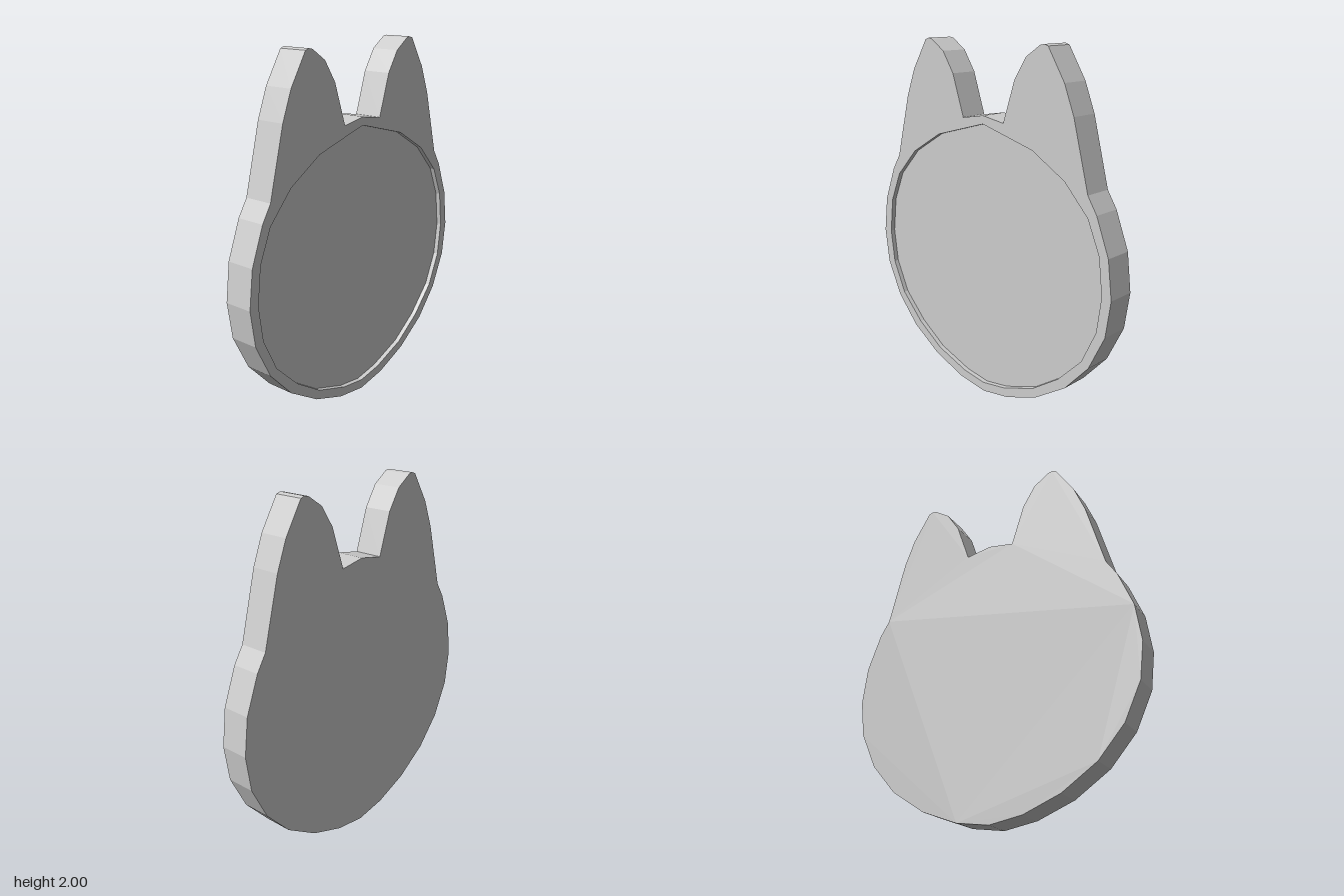
import * as THREE from 'three';

const BACK = -0.083, FRONT = 0.079, FLOOR = 0.052;

// Half profiles from top centre to bottom centre: [half width, height]
const bodyHalf = [
  [0, 1.615], [0.148, 1.59], [0.225, 1.82], [0.3, 1.935], [0.39, 1.995], [0.415, 2], [0.44, 1.992],
  [0.545, 1.825], [0.607, 1.67], [0.705, 1.305], [0.762, 1.215], [0.84, 1.015], [0.867, 0.806],
  [0.84, 0.605], [0.745, 0.405], [0.598, 0.24], [0.4, 0.11], [0.19, 0.03], [0, 0],
];
const recessHalf = [
  [0, 1.57], [0.348, 1.475], [0.56, 1.35], [0.71, 1.19], [0.785, 1.015], [0.81, 0.81],
  [0.785, 0.615], [0.7, 0.43], [0.55, 0.275], [0.375, 0.155], [0.16, 0.078], [0, 0.053],
];

// Mirror a half profile into a closed counter-clockwise outline
function mirrorOutline(half) {
  const left = half.map(([w, y]) => new THREE.Vector2(-w, y));
  const right = half.slice(1, -1).reverse().map(([w, y]) => new THREE.Vector2(w, y));
  return [...left, ...right];
}

// Flat-faced band that follows an outline from depth d0 to depth d1
function band(points, d0, d1) {
  const pos = [];
  points.forEach((a, i) => {
    const b = points[(i + 1) % points.length];
    pos.push(a.x, a.y, d0, b.x, b.y, d0, b.x, b.y, d1);
    pos.push(a.x, a.y, d0, b.x, b.y, d1, a.x, a.y, d1);
  });
  const geo = new THREE.BufferGeometry();
  geo.setAttribute('position', new THREE.Float32BufferAttribute(pos, 3));
  geo.computeVertexNormals();
  return geo;
}

export function createModel() {
  const group = new THREE.Group();
  group.name = 'earedPlaque';
  const material = new THREE.MeshStandardMaterial({ color: 0xcccccc, flatShading: true });

  // Profiles are drawn facing +z, then turned to face +x
  const add = (name, geometry) => {
    geometry.rotateY(Math.PI / 2);
    const mesh = new THREE.Mesh(geometry, material);
    mesh.name = name;
    group.add(mesh);
  };

  const body = mirrorOutline(bodyHalf);
  const recess = mirrorOutline(recessHalf);

  // Outer edge and plain back
  add('outerEdge', band(body, BACK, FRONT));
  const back = new THREE.ShapeGeometry(new THREE.Shape(body));
  add('backFace', back.rotateY(Math.PI).translate(0, 0, BACK));

  // Raised rim with ears around the round recess
  const rim = new THREE.Shape(body);
  rim.holes.push(new THREE.Path(recess));
  add('rimFace', new THREE.ShapeGeometry(rim).translate(0, 0, FRONT));

  // Shallow recess: inward wall and flat floor
  add('recessWall', band([...recess].reverse(), FLOOR, FRONT));
  add('recessFloor', new THREE.ShapeGeometry(new THREE.Shape(recess)).translate(0, 0, FLOOR));

  return group;
}
